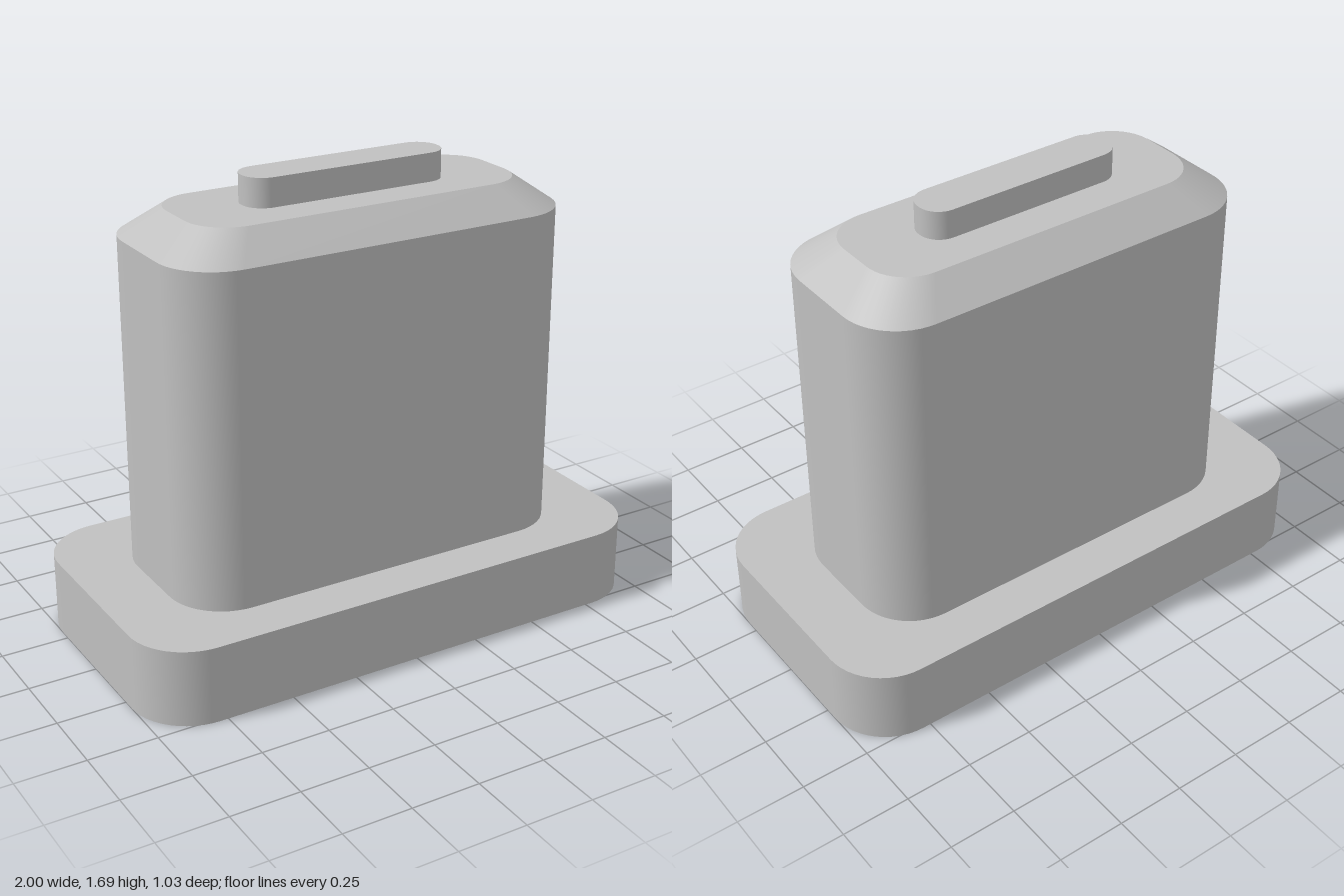
import * as THREE from 'three';

const CORNER_STEPS = 12;

// Rounded rectangle outline: half width, half depth, corner radius.
function outline({ w, d, r, y }) {
  const points = [];
  for (let q = 0; q < 4; q++) {
    const sx = q === 0 || q === 3 ? 1 : -1;
    const sz = q < 2 ? 1 : -1;
    for (let i = 0; i <= CORNER_STEPS; i++) {
      const a = (q + i / CORNER_STEPS) * Math.PI / 2;
      const p = new THREE.Vector3(sx * (w - r) + r * Math.cos(a), y, sz * (d - r) + r * Math.sin(a));
      points.push({ p, tangent: new THREE.Vector3(-Math.sin(a), 0, Math.cos(a)) });
    }
  }
  return points;
}

// Closed solid through stacked outlines, smooth around corners and sharp between levels.
function loft(name, levels, material) {
  const pos = [], nor = [], index = [];
  const add = (p, n) => { pos.push(p.x, p.y, p.z); nor.push(n.x, n.y, n.z); };
  const rings = levels.map(outline);
  const count = rings[0].length;

  // Side walls
  for (let l = 0; l < rings.length - 1; l++) {
    const start = pos.length / 3;
    for (let i = 0; i < count; i++) {
      const low = rings[l][i], high = rings[l + 1][i];
      const n = high.p.clone().sub(low.p).cross(low.tangent).normalize();
      add(low.p, n);
      add(high.p, n);
    }
    for (let i = 0; i < count; i++) {
      const a = start + 2 * i, b = start + 2 * ((i + 1) % count);
      index.push(a, a + 1, b, b, a + 1, b + 1);
    }
  }

  // Flat caps
  for (const [ring, dir] of [[rings[0], -1], [rings[rings.length - 1], 1]]) {
    const start = pos.length / 3;
    const n = new THREE.Vector3(0, dir, 0);
    add(new THREE.Vector3(0, ring[0].p.y, 0), n);
    ring.forEach(({ p }) => add(p, n));
    for (let i = 0; i < count; i++) {
      const a = start + 1 + i, b = start + 1 + (i + 1) % count;
      if (dir > 0) index.push(start, b, a);
      else index.push(start, a, b);
    }
  }

  const geometry = new THREE.BufferGeometry();
  geometry.setAttribute('position', new THREE.Float32BufferAttribute(pos, 3));
  geometry.setAttribute('normal', new THREE.Float32BufferAttribute(nor, 3));
  geometry.setIndex(index);
  const mesh = new THREE.Mesh(geometry, material);
  mesh.name = name;
  return mesh;
}

export function createModel() {
  const grey = new THREE.MeshStandardMaterial({ color: 0xc0c0c0 });
  grey.name = 'light grey';

  const model = new THREE.Group();
  model.name = 'steppedBlock';
  model.add(
    // Wide foot
    loft('base', [
      { w: 1, d: 0.517, r: 0.22, y: 0 },
      { w: 1, d: 0.517, r: 0.22, y: 0.28 },
    ], grey),
    // Tall body with a sloped shoulder
    loft('body', [
      { w: 0.767, d: 0.34, r: 0.21, y: 0.28 },
      { w: 0.767, d: 0.34, r: 0.21, y: 1.485 },
      { w: 0.632, d: 0.222, r: 0.155, y: 1.585 },
    ], grey),
    // Narrow tongue on top
    loft('topTab', [
      { w: 0.388, d: 0.082, r: 0.078, y: 1.585 },
      { w: 0.388, d: 0.082, r: 0.078, y: 1.688 },
    ], grey),
  );
  return model;
}
